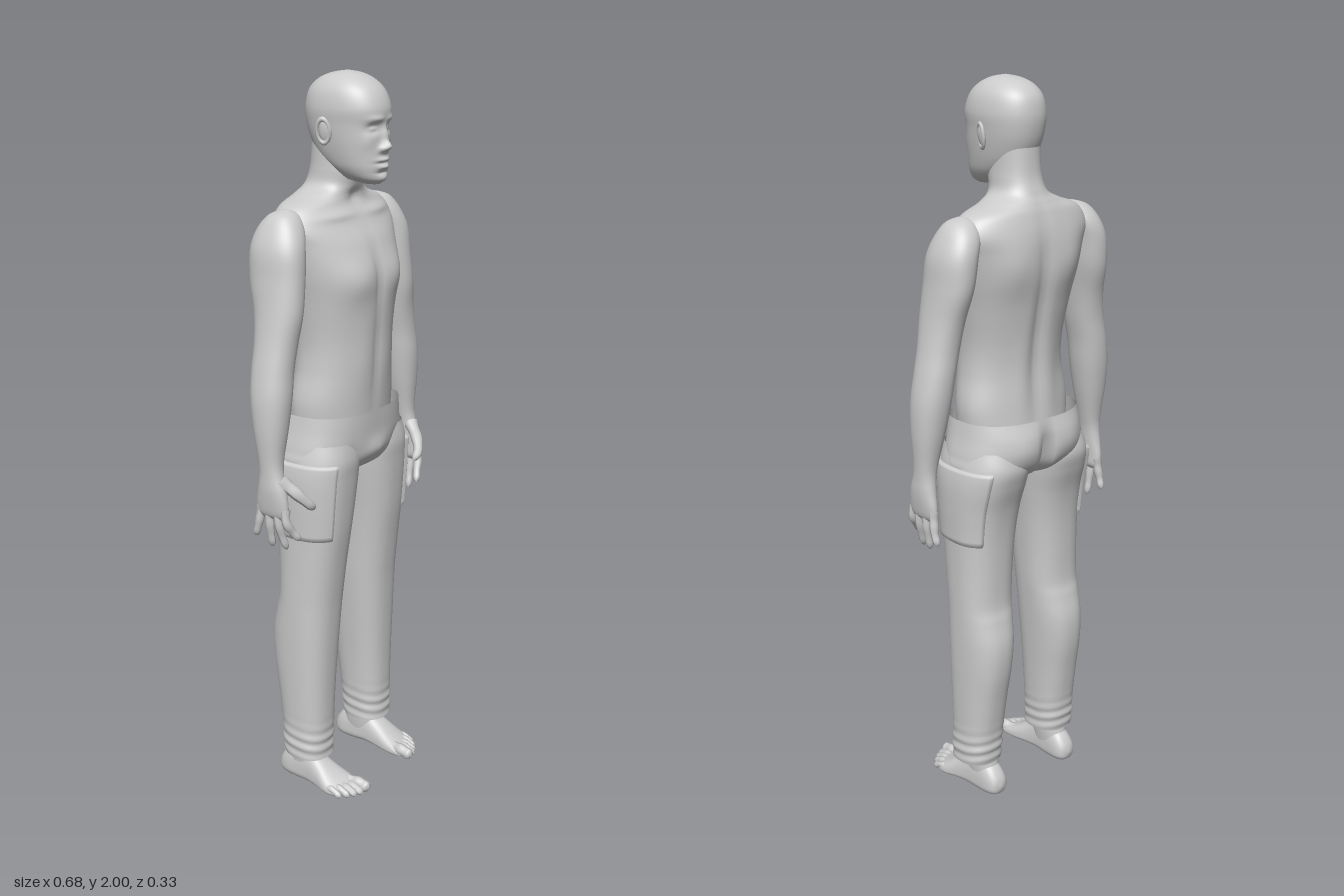
import * as THREE from 'three';

const skin = new THREE.MeshStandardMaterial({ color: 0xcccccc });
const cloth = new THREE.MeshStandardMaterial({ color: 0xcccccc, side: THREE.DoubleSide });

// Catmull-Rom blend of all columns of a section table, u in 0..1
function sample(rows, u) {
  const f = u * (rows.length - 1), i = Math.min(Math.floor(f), rows.length - 2), t = f - i;
  const row = (k) => rows[Math.max(0, Math.min(rows.length - 1, k))];
  const [a, b, c, d] = [row(i - 1), row(i), row(i + 1), row(i + 2)];
  return b.map((_, k) => 0.5 * (2 * b[k] + (c[k] - a[k]) * t
    + (2 * a[k] - 5 * b[k] + 4 * c[k] - d[k]) * t * t + (3 * b[k] - a[k] - 3 * c[k] + d[k]) * t * t * t));
}

// Skin over sections [t, centre x, centre, half width, front limit, back limit], along y or z
function loft(rows, { segs = 48, steps = 60, n = 2.2, axis = 'y', a0 = 0, a1 = Math.PI * 2, u0 = 0, u1 = 1, cap = true, sculpt } = {}) {
  if (rows[0][0] > rows[rows.length - 1][0]) rows = [...rows].reverse();
  const closed = a1 - a0 > 6.28, cols = closed ? segs : segs + 1, pos = [], idx = [];
  const put = (p) => (axis === 'y' ? pos.push(p.x, p.y, p.z) : pos.push(p.x, p.z, p.y));
  const tri = (a, b, c) => (axis === 'y' ? idx.push(a, b, c) : idx.push(a, c, b));
  for (let j = 0; j <= steps; j++) {
    const [t, cx, c, rx, f, b] = sample(rows, u0 + (u1 - u0) * j / steps);
    for (let i = 0; i < cols; i++) {
      const a = a0 + (a1 - a0) * i / segs, cs = Math.cos(a), sn = Math.sin(a);
      const ex = Math.sign(cs) * Math.abs(cs) ** (2 / n), ez = Math.abs(sn) ** (2 / n);
      const p = new THREE.Vector3(cx + rx * ex, t, sn > 0 ? c + (f - c) * ez : c + (b - c) * ez);
      if (sculpt) sculpt(p, a, i / segs, j / steps);
      put(p);
    }
  }
  for (let j = 0; j < steps; j++) for (let i = 0; i < segs; i++) {
    const k = (i + 1) % cols, p = j * cols + i, q = j * cols + k;
    tri(p, p + cols, q);
    tri(q, p + cols, q + cols);
  }
  if (cap && closed) for (const [j, flip] of [[0, false], [steps, true]]) {
    const [t, cx, c] = sample(rows, u0 + (u1 - u0) * j / steps), m = pos.length / 3;
    put(new THREE.Vector3(cx, t, c));
    for (let i = 0; i < segs; i++) {
      const p = j * cols + i, q = j * cols + (i + 1) % cols;
      flip ? tri(m, q, p) : tri(m, p, q);
    }
  }
  const g = new THREE.BufferGeometry();
  g.setAttribute('position', new THREE.Float32BufferAttribute(pos, 3));
  g.setIndex(idx);
  g.computeVertexNormals();
  return g;
}

// Soft swellings [x, y, spread x, spread y, depth, 1 front / -1 back], mirrored in x
const bumps = (list) => (p, a) => {
  let dz = 0;
  for (const [x, y, sx, sy, d, side] of list) {
    const w = Math.sqrt(Math.max(0, side * Math.sin(a)));
    dz += side * d * w * Math.exp(-(((Math.abs(p.x) - x) / sx) ** 2) - ((p.y - y) / sy) ** 2);
  }
  p.z += dz;
};

// Tapered round-tipped finger or toe along points
function digit(points, r0, r1) {
  const path = new THREE.CatmullRomCurve3(points.map((p) => new THREE.Vector3(...p)));
  const N = 20, S = 10, g = new THREE.TubeGeometry(path, N, 1, S), pos = g.attributes.position, v = new THREE.Vector3();
  for (let j = 0; j <= N; j++) {
    const u = j / N, c = path.getPointAt(u), tip = Math.max(0, (u - 0.78) / 0.22);
    const r = (r0 + (r1 - r0) * u) * Math.sqrt(Math.max(0, 1 - tip * tip)) * (1 + 0.06 * Math.cos(u * 14));
    for (let i = 0; i <= S; i++) {
      const k = j * (S + 1) + i;
      v.fromBufferAttribute(pos, k).sub(c).multiplyScalar(r).add(c);
      pos.setXYZ(k, v.x, v.y, v.z);
    }
  }
  g.computeVertexNormals();
  return g;
}

function mirrored(geo) {
  const g = geo.clone().scale(-1, 1, 1), ix = g.index.array;
  for (let i = 0; i < ix.length; i += 3) [ix[i + 1], ix[i + 2]] = [ix[i + 2], ix[i + 1]];
  g.computeVertexNormals();
  return g;
}

export function createModel() {
  const model = new THREE.Group();
  const add = (name, geo, mat = skin) => {
    const m = new THREE.Mesh(geo, mat);
    m.name = name;
    model.add(m);
  };
  const pair = (name, geo, mat) => {
    add('left' + name, geo, mat);
    add('right' + name, mirrored(geo), mat);
  };

  // Torso and neck
  add('torso', loft([
    [1.05, 0, -0.02, 0.165, 0.095, -0.125], [1.15, 0, -0.02, 0.172, 0.1, -0.113], [1.24, 0, -0.01, 0.158, 0.105, -0.108],
    [1.32, 0, -0.01, 0.156, 0.108, -0.115], [1.42, 0, -0.02, 0.17, 0.115, -0.132], [1.5, 0, -0.03, 0.187, 0.113, -0.145],
    [1.57, 0, -0.04, 0.203, 0.092, -0.147], [1.62, 0, -0.045, 0.215, 0.063, -0.143], [1.665, 0, -0.045, 0.185, 0.036, -0.132],
    [1.69, 0, -0.045, 0.118, 0.032, -0.122], [1.715, 0, -0.035, 0.073, 0.038, -0.11], [1.76, 0, -0.025, 0.063, 0.046, -0.096],
    [1.84, 0, -0.025, 0.06, 0.04, -0.09],
  ], { segs: 80, steps: 110, sculpt: bumps([
    [0.085, 1.48, 0.06, 0.055, 0.014, 1], [0, 1.48, 0.014, 0.09, -0.008, 1], [0, 1.27, 0.012, 0.13, -0.006, 1],
    [0.05, 1.28, 0.035, 0.12, 0.004, 1], [0.09, 1.645, 0.07, 0.012, 0.008, 1], [0, 1.685, 0.02, 0.02, -0.008, 1],
    [0, 1.4, 0.02, 0.22, -0.014, -1], [0.1, 1.54, 0.055, 0.07, 0.012, -1], [0.05, 1.22, 0.03, 0.12, 0.006, -1],
  ]) }));

  // Head, face shaped by swellings and hollows
  add('head', loft([
    [1.722, 0, 0.085, 0.016, 0.108, 0.06], [1.735, 0, 0.065, 0.042, 0.121, 0.005], [1.76, 0, 0.045, 0.06, 0.124, -0.035],
    [1.79, 0, 0.03, 0.07, 0.124, -0.07], [1.83, 0, 0.02, 0.078, 0.123, -0.092], [1.87, 0, 0.01, 0.083, 0.125, -0.103],
    [1.91, 0, 0.01, 0.086, 0.128, -0.106], [1.95, 0, 0.01, 0.078, 0.112, -0.097], [1.977, 0, 0.01, 0.06, 0.084, -0.072],
    [1.993, 0, 0.01, 0.034, 0.05, -0.035], [2.0, 0, 0.01, 0.003, 0.013, 0.007],
  ], { segs: 112, steps: 120, sculpt: bumps([
    [0, 1.818, 0.011, 0.014, 0.022, 1], [0, 1.845, 0.009, 0.02, 0.011, 1], [0.014, 1.812, 0.008, 0.008, 0.009, 1],
    [0.033, 1.863, 0.017, 0.012, -0.013, 1], [0.033, 1.862, 0.011, 0.006, 0.008, 1], [0.03, 1.886, 0.022, 0.008, 0.005, 1],
    [0, 1.785, 0.022, 0.006, 0.009, 1], [0, 1.767, 0.019, 0.006, 0.009, 1], [0, 1.777, 0.024, 0.003, -0.004, 1],
    [0, 1.752, 0.022, 0.005, -0.006, 1], [0, 1.736, 0.018, 0.009, 0.004, 1], [0.05, 1.83, 0.014, 0.02, 0.004, 1],
  ]) }));
  pair('Ear', new THREE.SphereGeometry(1, 20, 14).scale(0.008, 0.03, 0.017).rotateZ(-0.15).rotateY(-0.3).translate(0.087, 1.853, 0.004));
  pair('EarRim', new THREE.TorusGeometry(0.022, 0.005, 8, 24).scale(0.75, 1.35, 1).rotateY(Math.PI / 2 - 0.35).rotateZ(-0.12).translate(0.092, 1.855, 0));

  // Arm with the palm
  pair('Arm', loft([
    [1.668, 0.195, -0.04, 0.006, -0.03, -0.05], [1.655, 0.2, -0.04, 0.036, -0.004, -0.082], [1.62, 0.212, -0.043, 0.05, 0.02, -0.108],
    [1.57, 0.228, -0.043, 0.053, 0.036, -0.118], [1.5, 0.236, -0.037, 0.052, 0.041, -0.112], [1.42, 0.248, -0.025, 0.05, 0.04, -0.092],
    [1.34, 0.262, -0.023, 0.05, 0.034, -0.082], [1.27, 0.277, -0.023, 0.05, 0.032, -0.08], [1.2, 0.288, -0.022, 0.05, 0.034, -0.075],
    [1.12, 0.296, -0.018, 0.043, 0.029, -0.063], [1.04, 0.302, -0.014, 0.031, 0.021, -0.048], [1.0, 0.305, -0.01, 0.026, 0.024, -0.045],
    [0.96, 0.307, -0.006, 0.024, 0.036, -0.05], [0.92, 0.307, -0.006, 0.02, 0.043, -0.057], [0.89, 0.305, -0.006, 0.016, 0.042, -0.056],
    [0.876, 0.304, -0.006, 0.006, 0.03, -0.045],
  ], { segs: 40, steps: 90, sculpt: bumps([[0.235, 1.41, 0.05, 0.06, 0.004, 1], [0.25, 1.47, 0.05, 0.07, 0.005, -1]]) }));
  pair('Thumb', digit([[0.302, 0.985, 0.015], [0.28, 0.95, 0.052], [0.257, 0.92, 0.072], [0.232, 0.9, 0.074]], 0.02, 0.011));
  const fingers = [
    ['IndexFinger', 0.034, 0.058, 0.273, 0.818], ['MiddleFinger', 0.009, 0.022, 0.285, 0.787],
    ['RingFinger', -0.018, -0.018, 0.295, 0.79], ['LittleFinger', -0.045, -0.065, 0.308, 0.815],
  ];
  for (const [name, z0, z1, x1, y1] of fingers) {
    pair(name, digit([[0.306, 0.91, z0], [0.308, 0.875, z0 * 0.8 + z1 * 0.2], [(0.312 + x1) / 2, (0.875 + y1) / 2, (z0 + z1) / 2], [x1, y1, z1]], 0.0135, 0.0095));
  }

  // Trouser seat, open at the waist
  add('trouserSeat', loft([
    [1.124, 0, -0.02, 0.184, 0.114, -0.152], [1.08, 0, -0.02, 0.192, 0.112, -0.163], [1.03, 0, -0.02, 0.203, 0.108, -0.162],
    [0.99, 0, -0.02, 0.205, 0.098, -0.146], [0.96, 0, -0.02, 0.15, 0.075, -0.11], [0.945, 0, -0.02, 0.05, 0.03, -0.05],
  ], { segs: 80, n: 2.5, cap: false, sculpt: bumps([
    [0, 1.03, 0.018, 0.07, -0.03, -1], [0.085, 1.05, 0.05, 0.05, 0.008, -1], [0, 1.01, 0.04, 0.03, 0.012, 1], [0.1, 0.99, 0.02, 0.05, -0.006, 1],
  ]) }), cloth);

  // Trouser legs with a fold at the calf and wrinkles near the hem
  const leg = [
    [1.05, 0.105, -0.02, 0.09, 0.095, -0.14], [1.0, 0.108, -0.02, 0.101, 0.103, -0.153], [0.95, 0.112, -0.02, 0.103, 0.1, -0.143],
    [0.88, 0.116, -0.02, 0.098, 0.095, -0.122], [0.8, 0.12, -0.02, 0.091, 0.088, -0.11], [0.7, 0.124, -0.02, 0.086, 0.075, -0.105],
    [0.6, 0.127, -0.025, 0.083, 0.064, -0.105], [0.55, 0.129, -0.025, 0.081, 0.06, -0.116], [0.48, 0.132, -0.025, 0.078, 0.056, -0.13],
    [0.4, 0.135, -0.025, 0.074, 0.052, -0.128], [0.3, 0.138, -0.025, 0.069, 0.048, -0.112], [0.2, 0.14, -0.025, 0.065, 0.046, -0.098],
    [0.14, 0.142, -0.023, 0.064, 0.046, -0.094], [0.1, 0.142, -0.022, 0.063, 0.046, -0.09],
  ];
  pair('TrouserLeg', loft(leg, { segs: 56, steps: 110, n: 2.4, cap: false, sculpt: (p, a) => {
    const w = 0.0025 * Math.exp(-(((p.y - 0.15) / 0.05) ** 2)) * Math.sin(p.y * 190 + 2 * Math.sin(a));
    p.x += w * Math.cos(a);
    p.z += w * Math.sin(a);
  } }), cloth);
  // Side pocket, a raised panel following the leg
  pair('SidePocket', loft(leg, { segs: 30, steps: 30, n: 2.4, a0: -1.0, a1: 1.2, u0: 0.675, u1: 0.925, sculpt: (p, a, s, t) => {
    const grow = Math.min(s, 1 - s, t * 2, 1 - t) > 0.02 ? 0.008 : -0.004;
    p.x += grow * Math.cos(a);
    p.z += grow * Math.sin(a);
  } }), cloth);

  // Ankle and bare foot
  pair('Ankle', loft([
    [0.24, 0.14, -0.03, 0.042, 0.015, -0.08], [0.13, 0.137, -0.035, 0.036, 0.012, -0.083],
    [0.09, 0.136, -0.035, 0.039, 0.02, -0.09], [0.04, 0.136, -0.035, 0.034, 0.02, -0.1],
  ], { segs: 28, steps: 16 }));
  pair('Foot', loft([
    [-0.122, 0.136, 0.032, 0.004, 0.036, 0.028], [-0.114, 0.136, 0.03, 0.025, 0.06, 0.008], [-0.09, 0.136, 0.03, 0.035, 0.088, 0.001],
    [-0.05, 0.137, 0.03, 0.037, 0.11, 0], [-0.01, 0.139, 0.03, 0.038, 0.108, 0.003], [0.03, 0.141, 0.025, 0.043, 0.082, 0.004],
    [0.07, 0.142, 0.02, 0.05, 0.056, 0.002], [0.1, 0.142, 0.018, 0.051, 0.04, 0.001], [0.12, 0.141, 0.017, 0.045, 0.03, 0.005],
    [0.128, 0.14, 0.016, 0.02, 0.02, 0.012],
  ], { segs: 36, steps: 50, axis: 'z', n: 2.4, sculpt: (p) => {
    p.y -= Math.max(0, p.y - 0.03) * (p.x - 0.14) * 4;
  } }));
  const toes = [[0.109, 0.167, 0.0175], [0.132, 0.161, 0.0115], [0.15, 0.152, 0.011], [0.167, 0.139, 0.0105], [0.183, 0.122, 0.01]];
  toes.forEach(([x, z, r], i) => pair('Toe' + (i + 1),
    digit([[x * 0.85 + 0.021, 0.024, z - 0.07], [x, 0.026, z - 0.032], [x, r + 0.001, z]], r, r * 0.95)));

  return model;
}
